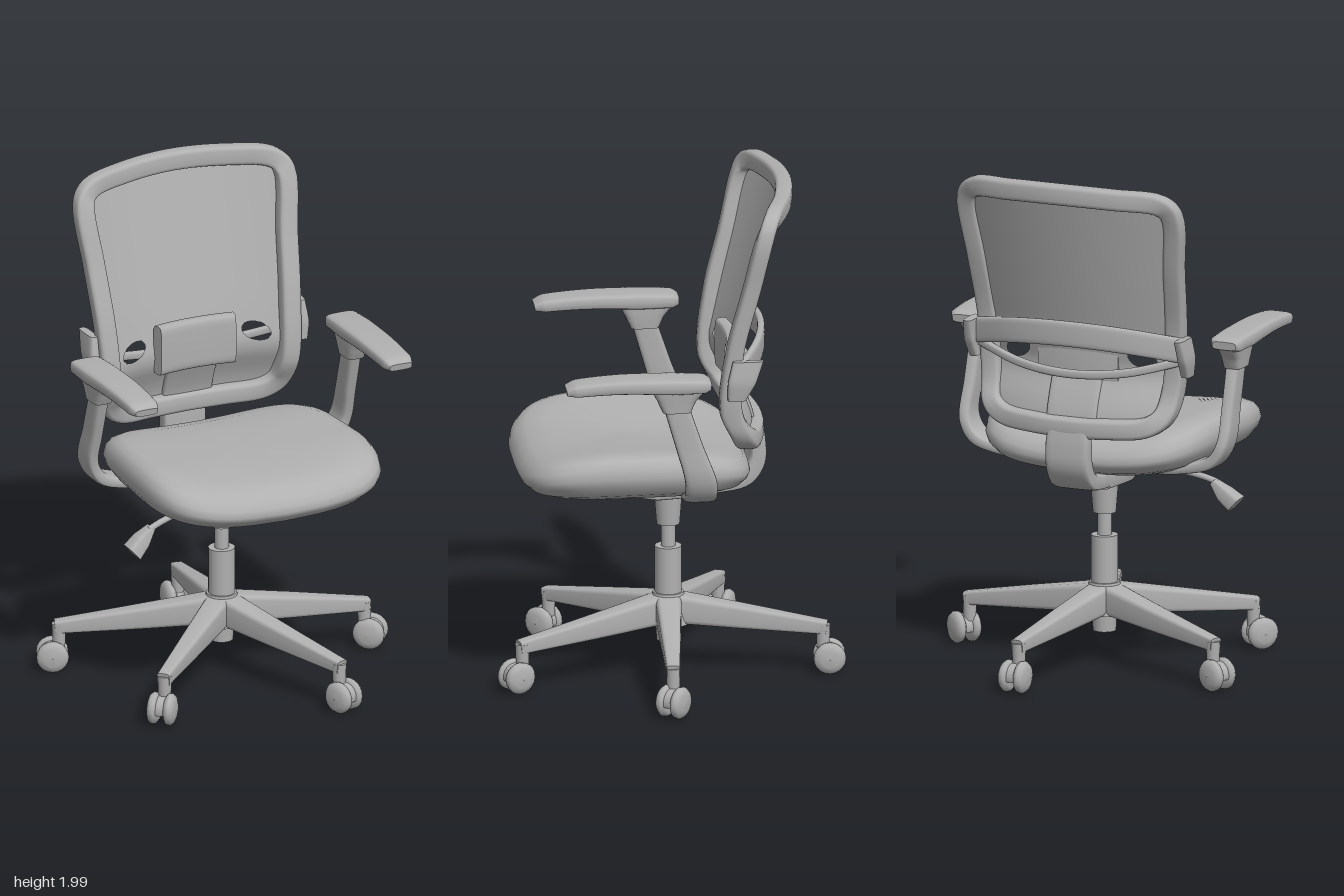
import * as THREE from 'three';

const grey = new THREE.MeshStandardMaterial({ color: 0xb0b0b0, side: THREE.DoubleSide });
grey.name = 'warm grey plastic';
const X = new THREE.Vector3(1, 0, 0), Y = new THREE.Vector3(0, 1, 0), Z = new THREE.Vector3(0, 0, 1);
const pw = (v, n) => Math.sign(v) * Math.abs(v) ** (2 / n);

// Skin a list of equal-length rings; caps get their own vertices so the rim stays sharp
function loft(rings, closed = false) {
  const pos = [], idx = [], k = rings[0].length, n = rings.length;
  rings.forEach(r => r.forEach(p => pos.push(p.x, p.y, p.z)));
  for (let i = 0; i < (closed ? n : n - 1); i++) for (let j = 0; j < k; j++) {
    const a = i * k + j, b = i * k + (j + 1) % k, i2 = ((i + 1) % n) * k;
    const c = i2 + j, d = i2 + (j + 1) % k;
    idx.push(a, b, c, b, d, c);
  }
  if (!closed) [rings[0], rings[n - 1]].forEach((r, e) => {
    const s = pos.length / 3;
    r.forEach(p => pos.push(p.x, p.y, p.z));
    for (let j = 1; j < k - 1; j++) e ? idx.push(s, s + j, s + j + 1) : idx.push(s, s + j + 1, s + j);
  });
  const g = new THREE.BufferGeometry();
  g.setAttribute('position', new THREE.Float32BufferAttribute(pos, 3));
  g.setIndex(idx);
  g.computeVertexNormals();
  return g;
}

// Sweep a rounded section along points [x, y, z, halfAlongU, halfAcross]
function sweep(pts, u, { n = 4, seg = 5, closed = false, k = 20 } = {}) {
  const curve = new THREE.CatmullRomCurve3(pts.map(p => new THREE.Vector3(p[0], p[1], p[2])), closed);
  const m = closed ? pts.length : pts.length - 1, rings = [];
  for (let i = 0; i < m * seg + (closed ? 0 : 1); i++) {
    const t = i / (m * seg), f = t * m, i0 = Math.min(Math.floor(f), m - 1), w = f - i0;
    const A = pts[i0], B = pts[(i0 + 1) % pts.length];
    const a = A[3] + (B[3] - A[3]) * w, b = A[4] + (B[4] - A[4]) * w;
    const c = curve.getPoint(t), v = curve.getTangent(t).cross(u).normalize();
    rings.push(Array.from({ length: k }, (_, j) => {
      const q = j / k * 2 * Math.PI;
      return c.clone().addScaledVector(u, a * pw(Math.cos(q), n)).addScaledVector(v, b * pw(Math.sin(q), n));
    }));
  }
  return loft(rings, closed);
}

// Piecewise-linear lookup
function lookup(table, t) {
  for (let i = 1; i < table.length; i++) if (t <= table[i][0] || i === table.length - 1) {
    const [a, b] = [table[i - 1], table[i]];
    return a[1] + (b[1] - a[1]) * THREE.MathUtils.clamp((t - a[0]) / (b[0] - a[0]), 0, 1);
  }
}

// Depth of the curved backrest at a point
const spine = [[0.95, -0.33], [1.08, -0.31], [1.22, -0.245], [1.4, -0.29], [2.0, -0.455]];
const backZ = (x, y) => [-0.04, -0.02, 0, 0.02, 0.04].reduce((s, d) => s + lookup(spine, y + d) / 5, 0) + 0.11 * (x / 0.47) ** 2;

function seatGeometry() {
  const levels = [[0.02, 0.795], [0.8, 0.8], [0.92, 0.82], [0.98, 0.855], [1, 0.89], [0.985, 0.93],
    [0.94, 0.962], [0.86, 0.98], [0.7, 0.985], [0.4, 0.978], [0.02, 0.975]];
  return loft(levels.map(([s, y]) => Array.from({ length: 64 }, (_, j) => {
    const q = j / 64 * 2 * Math.PI;
    const z = 0.15 + s * 0.45 * pw(Math.cos(q), 4);
    const x = s * 0.49 * pw(Math.sin(q), 4) * (1 - 0.08 * Math.max(0, (0.3 - z) / 0.6));
    const front = Math.max(0, (z - 0.25) / 0.35), back = Math.max(0, (0.05 - z) / 0.35);
    const top = THREE.MathUtils.smoothstep(y, 0.8, 0.97);
    return new THREE.Vector3(x, y + 0.045 * (x / 0.49) ** 2 - top * (0.05 * front ** 2 + 0.05 * back ** 2), z);
  })));
}

// Thin curved back panel with two oval slots
function panelGeometry() {
  const nu = 64, nv = 80, pos = [], idx = [], cut = [];
  const half = [[0, 0.32], [0.04, 0.37], [0.15, 0.39], [0.4, 0.405], [1, 0.43]];
  for (let j = 0; j <= nv; j++) for (let i = 0; i <= nu; i++) {
    const u = i / nu * 2 - 1, v = j / nv;
    let x = u * lookup(half, v), y = 1.0 + v * (0.965 - 0.03 * u * u);
    const cx = Math.sign(x) * 0.262, dx = (x - cx) / 0.055, dy = (y - 1.28 + 0.25 * (Math.abs(x) - 0.262)) / 0.036;
    const d = Math.hypot(dx, dy);
    cut.push(d < 1);
    if (d < 1 && d > 0.01) { x = cx + (x - cx) / d; y += dy * 0.036 * (1 / d - 1); }
    pos.push(x, y, backZ(x, y) - 0.005);
  }
  for (let j = 0; j < nv; j++) for (let i = 0; i < nu; i++) {
    const a = j * (nu + 1) + i, b = a + 1, c = a + nu + 1, d = c + 1;
    if (!(cut[a] && cut[b] && cut[c] && cut[d])) idx.push(a, b, d, a, d, c);
  }
  const g = new THREE.BufferGeometry();
  g.setAttribute('position', new THREE.Float32BufferAttribute(pos, 3));
  g.setIndex(idx);
  g.computeVertexNormals();
  return g;
}

export function createModel() {
  const model = new THREE.Group();
  model.name = 'officeChair';
  const add = (name, geo, parent = model) => {
    const m = new THREE.Mesh(geo, grey);
    m.name = name;
    parent.add(m);
    return m;
  };
  const tube = (name, r1, r2, y0, y1, parent) =>
    add(name, new THREE.CylinderGeometry(r2, r1, y1 - y0, 24).translate(0, (y0 + y1) / 2, 0), parent);

  // Central column
  tube('columnFoot', 0.045, 0.05, 0.13, 0.22);
  tube('baseHub', 0.085, 0.06, 0.2, 0.325);
  tube('columnSleeve', 0.052, 0.052, 0.3, 0.51);
  tube('gasLift', 0.028, 0.028, 0.5, 0.66);
  tube('columnSocket', 0.045, 0.056, 0.6, 0.74);

  // Five legs with twin-wheel casters: caster centre and swivel
  const wheel = new THREE.LatheGeometry([[0.001, -0.02], [0.045, -0.02], [0.061, -0.01], [0.063, 0.004], [0.054, 0.016],
    [0.034, 0.023], [0.001, 0.025]].map(p => new THREE.Vector2(...p)), 20).rotateX(Math.PI / 2);
  for (const [x, z, swivel] of [[-0.595, -0.27, 0], [-0.465, 0.43, 0.1], [0.225, 0.615, 0.05], [0.615, 0.05, -0.6], [0.105, -0.615, 0.1]]) {
    const leg = new THREE.Group(), r = Math.hypot(x, z);
    leg.name = 'baseLeg';
    leg.rotation.y = Math.atan2(-z, x);
    model.add(leg);
    add('legBeam', sweep([[0.02, 0.262, 0, 0.052, 0.06], [0.3, 0.227, 0, 0.04, 0.045], [r - 0.01, 0.188, 0, 0.026, 0.026]], Z, { n: 5 }), leg);
    tube('casterStem', 0.024, 0.028, 0.1, 0.2, leg).position.x = r - 0.025;
    const caster = new THREE.Group();
    caster.name = 'caster';
    caster.position.set(r, 0.072, 0);
    caster.rotation.y = swivel;
    leg.add(caster);
    for (const s of [-1, 1]) {
      const w = add('casterWheel', wheel, caster);
      w.position.z = s * 0.032;
      if (s < 0) w.rotation.y = Math.PI;
    }
    add('casterHood', new THREE.CylinderGeometry(0.05, 0.05, 0.03, 20, 1, false, -0.3, Math.PI + 0.6)
      .rotateX(Math.PI / 2).rotateZ(Math.PI / 2), caster);
  }

  // Tilt mechanism and curved spine carrying the backrest
  add('tiltMechanism', sweep([[0, 0.765, 0.18, 0.085, 0.03], [0, 0.76, 0.05, 0.1, 0.045], [0, 0.765, -0.15, 0.09, 0.04]], X, { n: 6 }));
  add('backSpine', sweep([[0, 0.765, -0.05, 0.09, 0.035], [0, 0.77, -0.2, 0.09, 0.032], [0, 0.795, -0.295, 0.09, 0.034],
    [0, 0.86, -0.338, 0.09, 0.034], [0, 0.95, -0.342, 0.09, 0.03], [0, 1.04, -0.335, 0.08, 0.02]], X, { n: 6 }));

  // Height lever
  add('leverRod', sweep([[0, 0.785, 0.1, 0.013, 0.013], [-0.18, 0.765, 0.14, 0.013, 0.013],
    [-0.34, 0.735, 0.17, 0.013, 0.013], [-0.4, 0.715, 0.18, 0.013, 0.013]], Z, { n: 2, k: 12 }));
  add('leverPaddle', sweep([[-0.385, 0.72, 0.17, 0.02, 0.014], [-0.43, 0.675, 0.175, 0.034, 0.032], [-0.475, 0.635, 0.185, 0.04, 0.036]], Z));

  add('seatCushion', seatGeometry());

  // Backrest frame and panel
  const half = [[0.22, 1.953], [0.39, 1.935], [0.43, 1.89], [0.414, 1.65], [0.396, 1.4], [0.38, 1.16], [0.358, 1.065], [0.3, 1.025], [0.15, 1.012]];
  const outline = [[0, 1.96], ...half, [0, 1.01], ...half.map(([x, y]) => [-x, y]).reverse()];
  add('backFrame', sweep(outline.map(([x, y]) => [x, y, backZ(x, y), y < 1.3 ? 0.045 : 0.034, 0.04]), Z, { closed: true, seg: 6 }));
  add('backPanel', panelGeometry());

  // Lumbar pad, its strap, and the rear bow
  const along = (w, f) => [-1, -0.6, -0.3, 0, 0.3, 0.6, 1].map(t => f(t * w, t));
  add('lumbarPad', sweep(along(0.165, x => [x, 1.272, -0.243 + 0.6 * x * x, 0.1, 0.028]), Y, { n: 5 }));
  add('lumbarStrap', sweep([1.0, 1.06, 1.12, 1.2].map(y => [0, y, backZ(0, y) + 0.005, 0.105, 0.016]), X, { n: 6 }));
  add('rearBow', sweep(along(0.455, (x, t) => [x, 1.33 + 0.055 * (1 - t * t), -0.355 + 0.125 * t * t, 0.05, 0.016]), Y));
  add('rearStrut', sweep(along(0.43, (x, t) => [x, 1.22 + 0.07 * t * t, -0.325 + 0.1 * t * t, 0.017, 0.014]), Y, { n: 3 }));

  // Mirrored sides: bow clips and armrests
  for (const s of [-1, 1]) {
    add('bowClip', sweep([[s * 0.445, 1.23, -0.215, 0.035, 0.018], [s * 0.45, 1.3, -0.235, 0.055, 0.022], [s * 0.445, 1.385, -0.26, 0.06, 0.018]], Z));
    add('armSupport', sweep([[s * 0.15, 0.81, -0.07, 0.06, 0.02], [s * 0.4, 0.835, -0.07, 0.06, 0.022], [s * 0.5, 0.87, -0.07, 0.062, 0.025],
      [s * 0.542, 0.94, -0.065, 0.062, 0.024], [s * 0.544, 1.08, -0.02, 0.054, 0.025], [s * 0.542, 1.24, 0.03, 0.05, 0.027]], Z));
    add('armCollar', sweep([[s * 0.543, 1.225, 0.03, 0.055, 0.038], [s * 0.543, 1.27, 0.03, 0.075, 0.042], [s * 0.545, 1.32, 0.02, 0.11, 0.045]], Z));
    add('armPad', sweep([[s * 0.548, 1.333, -0.1, 0.05, 0.016], [s * 0.548, 1.335, -0.075, 0.066, 0.028], [s * 0.548, 1.338, 0.05, 0.071, 0.032],
      [s * 0.546, 1.342, 0.25, 0.068, 0.028], [s * 0.546, 1.332, 0.42, 0.062, 0.025], [s * 0.546, 1.325, 0.46, 0.048, 0.014]], X));
  }

  model.position.x = -0.015;
  const root = new THREE.Group();
  root.name = 'chair';
  root.add(model);
  return root;
}
